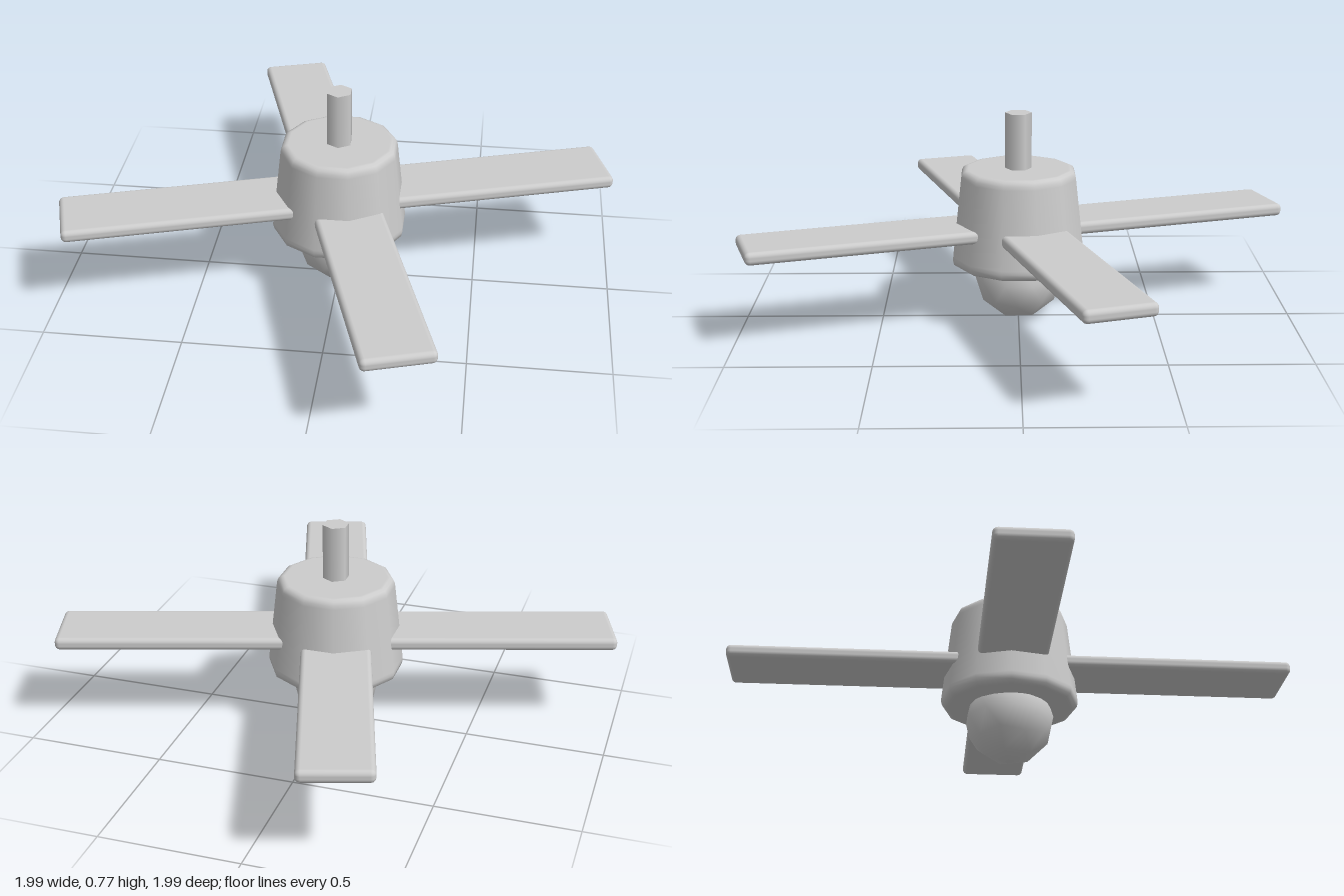
import * as THREE from 'three';
import { RoundedBoxGeometry } from 'three/addons/geometries/RoundedBoxGeometry.js';

export function createModel() {
  const model = new THREE.Group();
  model.name = 'ceilingFan';
  const grey = new THREE.MeshStandardMaterial({ name: 'light grey', color: 0xcccccc });

  const add = (name, geometry, parent = model) => {
    const mesh = new THREE.Mesh(geometry, grey);
    mesh.name = name;
    parent.add(mesh);
    return mesh;
  };

  // Tapered twelve-sided motor housing with softened rims
  const profile = [
    [0, 0.21], [0.215, 0.21], [0.228, 0.211], [0.242, 0.22], [0.246, 0.237], [0.245, 0.25],
    [0.213, 0.535], [0.211, 0.548], [0.205, 0.56], [0.194, 0.566], [0.185, 0.567], [0, 0.567],
  ].map(([r, y]) => new THREE.Vector2(r, y));
  add('motorHousing', new THREE.LatheGeometry(profile, 12, Math.PI / 12));

  // Hexagonal hanging rod
  add('hangingRod', new THREE.CylinderGeometry(0.048, 0.048, 0.25, 6)).position.y = 0.645;

  // Faceted-outline globe lamp, standing on one vertex
  const globe = new THREE.IcosahedronGeometry(0.16, 1);
  globe.rotateZ(-Math.atan(1 / ((1 + Math.sqrt(5)) / 2)));
  add('globeLamp', globe).position.y = 0.163;

  // Four flat blades with rounded edges
  const inner = 0.1, outer = 1.007;
  const bladeGeometry = new RoundedBoxGeometry(outer - inner, 0.046, 0.25, 3, 0.018);
  bladeGeometry.translate((inner + outer) / 2, 0.353, 0);
  const blades = new THREE.Group();
  blades.name = 'blades';
  model.add(blades);
  for (let i = 0; i < 4; i++) {
    add('blade' + (i + 1), bladeGeometry, blades).rotation.y = 0.302 + i * Math.PI / 2;
  }

  return model;
}
